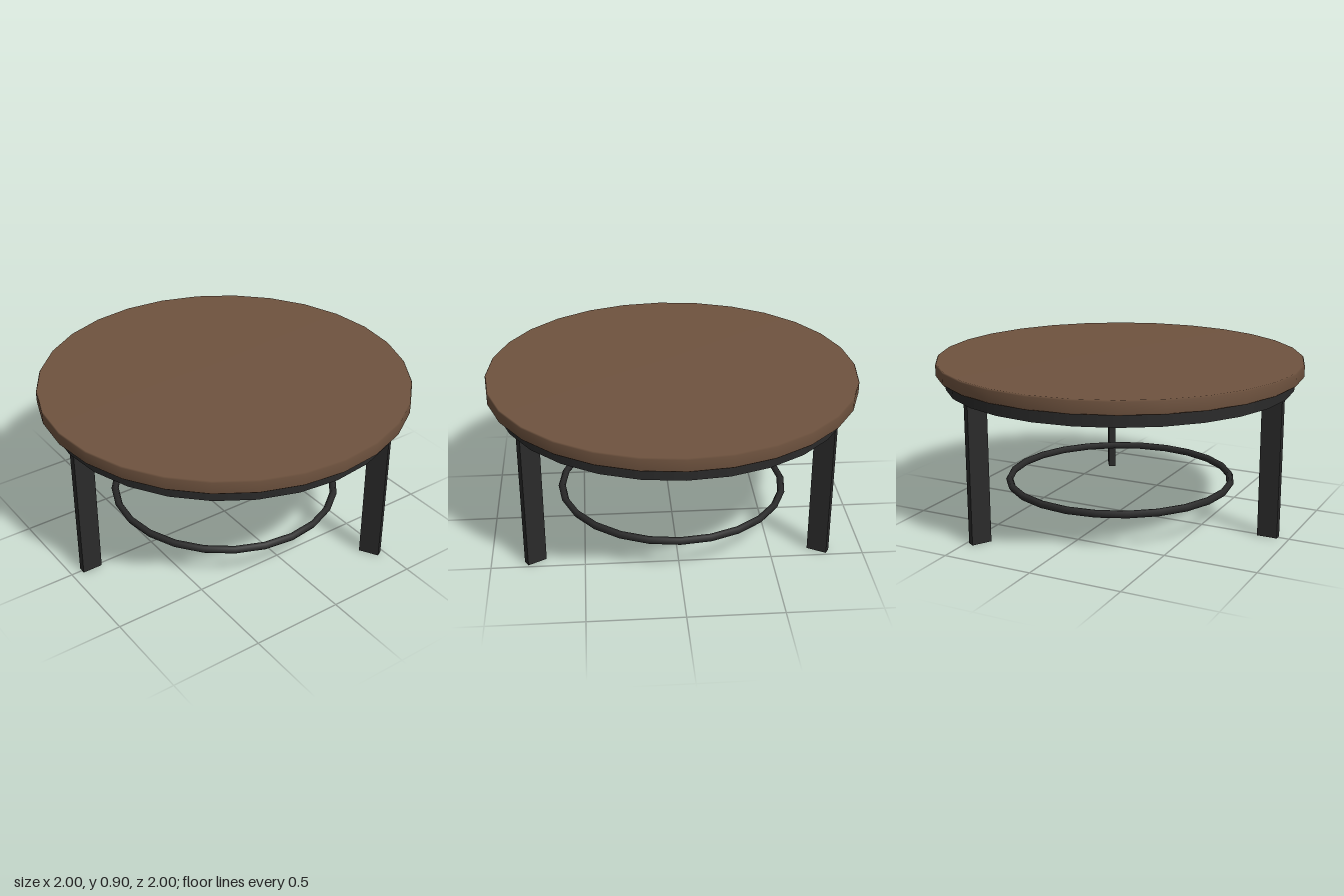
import * as THREE from 'three';

const wood = new THREE.MeshStandardMaterial({ name: 'brown wood', color: 0x6f533f });
const metal = new THREE.MeshStandardMaterial({ name: 'black metal', color: 0x2a2a2a });

export function createModel() {
  const table = new THREE.Group();
  table.name = 'roundCoffeeTable';

  const add = (name, geometry, material, x = 0, y = 0, z = 0) => {
    const mesh = new THREE.Mesh(geometry, material);
    mesh.name = name;
    mesh.position.set(x, y, z);
    table.add(mesh);
    return mesh;
  };

  // Round top with a slightly eased rim
  const profile = [[0, 0.825], [0.992, 0.825], [1, 0.833], [1, 0.892], [0.995, 0.9], [0, 0.9]]
    .map(([r, y]) => new THREE.Vector2(r, y));
  add('tableTop', new THREE.LatheGeometry(profile, 28), wood);

  // Apron disc under the top
  add('apron', new THREE.CylinderGeometry(0.95, 0.95, 0.07, 28), metal, 0, 0.79, 0);

  // Three flat-bar legs, one at the front, long side pointing outwards
  const legGeometry = new THREE.BoxGeometry(0.04, 0.757, 0.11);
  ['frontLeg', 'backLeftLeg', 'backRightLeg'].forEach((name, i) => {
    const angle = i * Math.PI * 2 / 3;
    const leg = add(name, legGeometry, metal, 0.883 * Math.sin(angle), 0.3785, 0.883 * Math.cos(angle));
    leg.rotation.y = angle;
  });

  // Low ring
  const ringGeometry = new THREE.TorusGeometry(0.62, 0.02, 6, 24).rotateX(Math.PI / 2);
  add('lowerRing', ringGeometry, metal, 0, 0.203, 0);

  return table;
}
